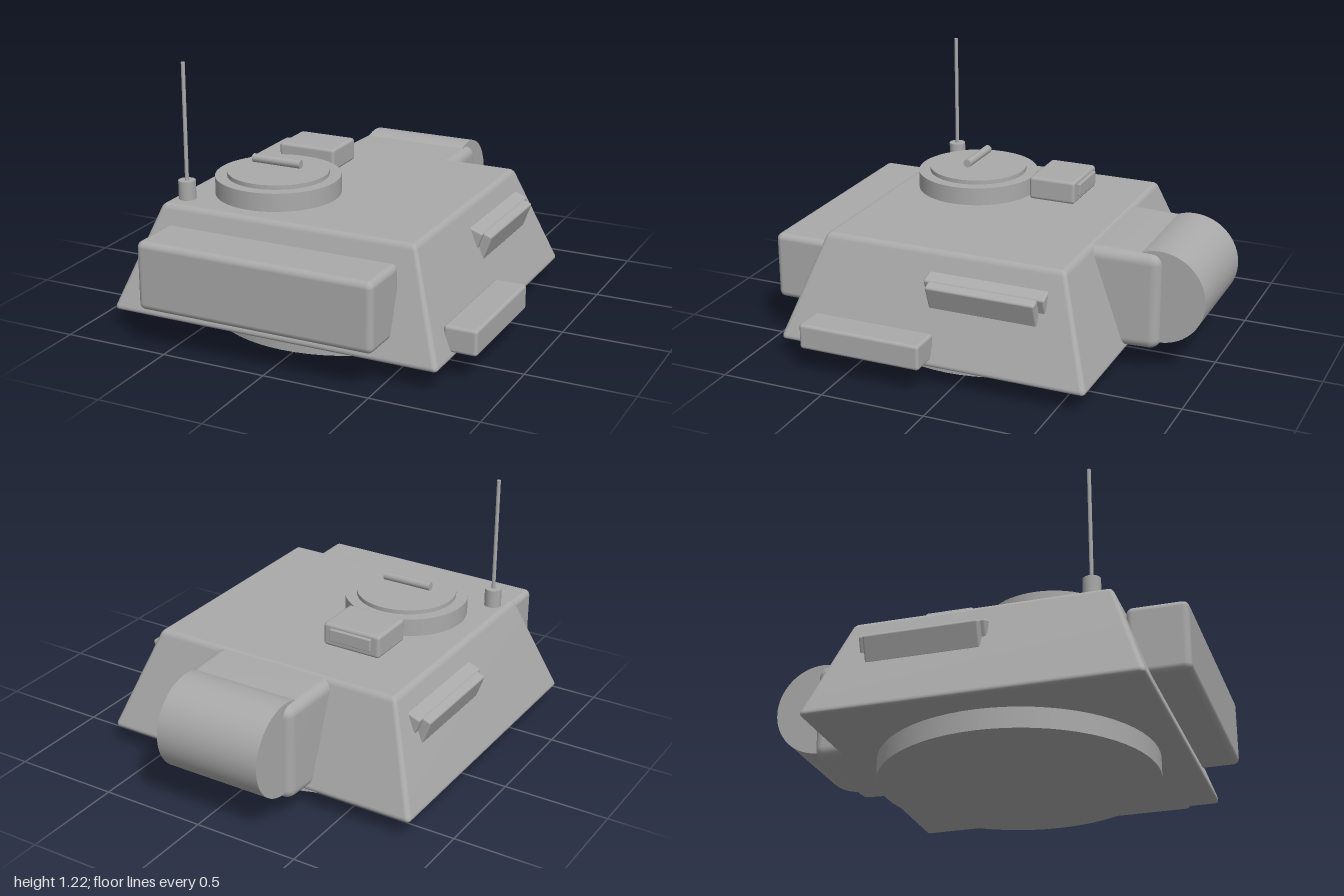
import * as THREE from 'three';
import { RoundedBoxGeometry } from 'three/addons/geometries/RoundedBoxGeometry.js';
import { mergeVertices } from 'three/addons/utils/BufferGeometryUtils.js';

const MID_X = -0.055; // symmetry plane of the turret body

export function createModel() {
  const model = new THREE.Group();
  model.name = 'turret';
  const steel = new THREE.MeshStandardMaterial({ color: 0xaaaaaa });
  steel.name = 'grey steel';

  function add(name, geometry, x, y, z, parent = model) {
    const mesh = new THREE.Mesh(geometry, steel);
    mesh.name = name;
    mesh.position.set(x, y, z);
    parent.add(mesh);
    return mesh;
  }

  // Rounded box given by its limits on each axis
  function box(name, [x0, x1], [y0, y1], [z0, z1], radius) {
    const geometry = new RoundedBoxGeometry(x1 - x0, y1 - y0, z1 - z0, 3, radius);
    return add(name, geometry, (x0 + x1) / 2, (y0 + y1) / 2, (z0 + z1) / 2);
  }

  // Rounded box whose vertices are moved by a rule, with fresh smooth normals
  function shapedBox(w, h, d, radius, rule) {
    let geometry = new RoundedBoxGeometry(w, h, d, 3, radius);
    geometry.deleteAttribute('normal');
    geometry.deleteAttribute('uv');
    geometry.clearGroups();
    geometry = mergeVertices(geometry, 1e-5);
    const pos = geometry.attributes.position;
    const v = new THREE.Vector3();
    for (let i = 0; i < pos.count; i++) {
      rule(v.fromBufferAttribute(pos, i));
      pos.setXYZ(i, v.x, v.y, v.z);
    }
    geometry.computeVertexNormals();
    return geometry;
  }

  const cylinder = (r, h, sides = 64) => new THREE.CylinderGeometry(r, r, h, sides);

  // Turret ring and sloped armour body
  add('turretRing', cylinder(0.64, 0.1), MID_X, 0.05, 0.09);
  const body = shapedBox(1.61, 0.49, 1.505, 0.025, (v) => {
    const t = v.y / 0.49 + 0.5;
    v.x *= 1 - 0.226 * t;
    v.z *= 1 - 0.226 * t;
  });
  add('armourBody', body, MID_X, 0.34, 0.1075);

  // Stowage boxes
  box('stowageBin', [-0.625, 0.515], [0.19, 0.51], [0.73, 1.0], 0.03);
  box('sideBox', [0.7, 0.855], [0.125, 0.245], [0.095, 0.69], 0.015);

  // Gun mantlet: block narrowing slightly outwards, with a drum
  const block = shapedBox(0.62, 0.47, 0.395, 0.05, (v) => {
    const t = 0.5 - v.z / 0.395;
    v.x *= 1 - 0.05 * t;
    v.y *= 1 - 0.03 * t;
  });
  add('mantletBlock', block, MID_X, 0.345, -0.5975);
  add('mantletDrum', cylinder(0.22, 0.52), MID_X, 0.37, -0.78).rotation.z = Math.PI / 2;

  // Commander's cupola with hatch and handle
  add('cupola', cylinder(0.29, 0.09), -0.285, 0.625, 0.32);
  add('hatch', cylinder(0.235, 0.03), -0.285, 0.675, 0.32);
  add('hatchHandle', cylinder(0.02, 0.245, 16), -0.2875, 0.732, 0.325).rotation.z = Math.PI / 2;

  // Sight housing with its window
  box('sightHousing', [-0.455, -0.165], [0.6, 0.71], [-0.23, 0.0], 0.015);
  box('sightWindow', [-0.415, -0.205], [0.633, 0.692], [-0.245, -0.2], 0.004);

  // Aerial
  add('aerialBase', cylinder(0.04, 0.09, 24), -0.61, 0.627, 0.587);
  add('aerialRod', cylinder(0.009, 0.56, 12), -0.61, 0.94, 0.587);

  // Tilted vision blocks on both flanks
  for (const side of [1, -1]) {
    const flank = new THREE.Group();
    flank.name = side > 0 ? 'leftVisionBlock' : 'rightVisionBlock';
    flank.position.x = MID_X;
    model.add(flank);
    const tilted = (name, w, h, d, cornerX, cornerY, z) => {
      const a = THREE.MathUtils.degToRad(20);
      const c = Math.cos(a), s = Math.sin(a);
      const x = cornerX - MID_X - (w / 2) * c - (h / 2) * s;
      const y = cornerY + (w / 2) * s - (h / 2) * c;
      const mesh = add(name, new RoundedBoxGeometry(w, h, d, 3, 0.01), side * x, y, z, flank);
      mesh.rotation.z = -side * a;
    };
    tilted('visorHood', 0.08, 0.15, 0.575, 0.662, 0.472, -0.1275);
    tilted('visorGlassFrame', 0.08, 0.125, 0.52, 0.698, 0.455, -0.1225);
  }

  return model;
}
